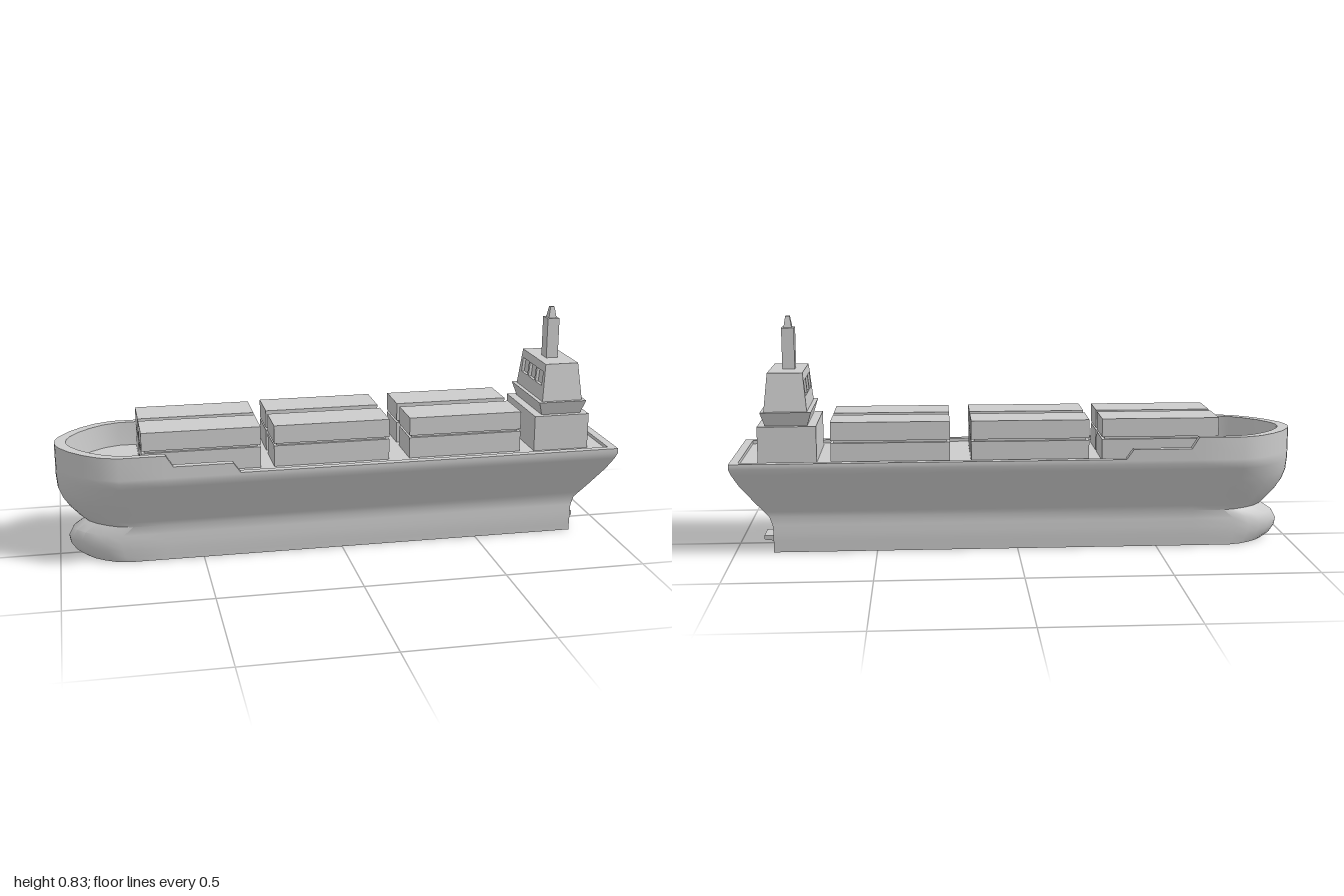
import * as THREE from 'three';
import { toCreasedNormals } from 'three/addons/utils/BufferGeometryUtils.js';

const grey = new THREE.MeshStandardMaterial({ color: 0xcccccc });

function mesh(name, geometry) {
  const m = new THREE.Mesh(geometry, grey);
  m.name = name;
  return m;
}

// Move every vertex of a geometry by a rule
function warp(geo, rule) {
  const p = geo.attributes.position;
  const v = new THREE.Vector3();
  for (let i = 0; i < p.count; i++) {
    rule(v.fromBufferAttribute(p, i));
    p.setXYZ(i, v.x, v.y, v.z);
  }
  const flat = geo.index ? geo.toNonIndexed() : geo;
  flat.computeVertexNormals();
  return flat;
}

// Box from bounds; the top is drawn in by front (-x), back (+x) and side insets
function block(name, [x0, x1], [y0, y1], [z0, z1], front = 0, back = front, side = 0) {
  const geo = new THREE.BoxGeometry(x1 - x0, y1 - y0, z1 - z0);
  geo.translate((x0 + x1) / 2, (y0 + y1) / 2, (z0 + z1) / 2);
  const zc = (z0 + z1) / 2;
  return mesh(name, warp(geo, v => {
    if (v.y < (y0 + y1) / 2) return;
    v.x += v.x < (x0 + x1) / 2 ? front : -back;
    v.z -= Math.sign(v.z - zc) * side;
  }));
}

// Bow plan curve: fraction aft of the nose, fraction of the half width
const BOW = [[1, 1], [0.7, 0.9], [0.45, 0.73], [0.24, 0.53], [0.07, 0.28], [0.015, 0.13], [0, 0]];
// Where the bulwark steps down: x, height
const STEPS = [[-0.375, 0.34], [-0.4, 0.375], [-0.605, 0.375], [-0.63, 0.415]];

// One plan outline, from the stern along +z round the nose and back along -z
function outline(y, nose, bowLength, half, stern) {
  const pts = [[stern, half, 0.34]];
  STEPS.forEach(([x, h]) => pts.push([x, half, h]));
  BOW.forEach(([u, t]) => pts.push([nose + u * bowLength, half * t, 0.415]));
  const side = pts.map(([x, z, h]) => new THREE.Vector3(x, y ?? h, z));
  const other = side.slice(0, -1).reverse().map(p => new THREE.Vector3(p.x, p.y, -p.z));
  return [...side, ...other];
}

function hullGeometry() {
  // y (null follows the bulwark top), nose x, bow length, half width, stern x
  const rings = [
    [0, -0.915, 0.15, 0.131, 0.865],
    [0.02, -0.945, 0.17, 0.132, 0.865],
    [0.045, -0.962, 0.18, 0.134, 0.865],
    [0.07, -0.966, 0.18, 0.134, 0.865],
    [0.1, -0.95, 0.17, 0.133, 0.867],
    [0.13, -0.905, 0.16, 0.132, 0.878],
    [0.15, -0.928, 0.18, 0.142, 0.893],
    [0.185, -0.96, 0.2, 0.16, 0.92],
    [0.22, -0.983, 0.21, 0.178, 0.945],
    [0.255, -0.996, 0.21, 0.196, 0.97],
    [0.3, -1, 0.21, 0.219, 0.993],
    [0.322, -1, 0.21, 0.23, 1],
    [0.335, -1, 0.21, 0.23, 1],
    [null, -1, 0.21, 0.23, 1],
    [null, -0.96, 0.19, 0.203, 0.97],
    [0.328, -0.95, 0.18, 0.203, 0.97],
  ].map(r => outline(...r));
  const n = rings[0].length;
  const m = (n + 1) / 2;
  const index = [];
  for (let k = 0; k < rings.length - 1; k++) {
    for (let i = 0; i < n; i++) {
      const j = (i + 1) % n;
      const a = k * n + i, b = k * n + j;
      index.push(a, a + n, b + n, a, b + n, b);
    }
  }
  // Flat bottom and deck, bridged from side to side
  const top = (rings.length - 1) * n;
  for (let i = 0; i < m - 1; i++) {
    const a = i, b = n - 1 - i, c = n - 2 - i, d = i + 1;
    index.push(top + a, top + b, top + c, a, c, b);
    if (c !== d) index.push(top + a, top + c, top + d, a, d, c);
  }
  const geo = new THREE.BufferGeometry().setFromPoints(rings.flat());
  geo.setIndex(index);
  return toCreasedNormals(geo, 0.6);
}

// Sloping wheelhouse front with three window openings
function windowPanel() {
  const y0 = 0.505, y1 = 0.64, depth = 0.012;
  const shape = new THREE.Shape([[-0.143, y0], [0.143, y0], [0.124, y1], [-0.124, y1]]
    .map(p => new THREE.Vector2(...p)));
  for (const z of [-0.077, 0, 0.077]) {
    shape.holes.push(new THREE.Path([[-0.032, 0.558], [-0.032, 0.61], [0.032, 0.61], [0.032, 0.558]]
      .map(([dz, y]) => new THREE.Vector2(z + dz, y))));
  }
  const geo = new THREE.ExtrudeGeometry(shape, { depth, bevelEnabled: false });
  geo.rotateY(-Math.PI / 2);
  return warp(geo, v => { v.x += 0.735 + depth + (v.y - y0) * 0.1; });
}

export function createModel() {
  const ship = new THREE.Group();
  ship.name = 'cargoShip';
  ship.add(mesh('hull', hullGeometry()));

  // Container stacks: two rows, two layers with a narrow spacer between
  const containers = new THREE.Group();
  containers.name = 'containers';
  for (const [x, zr] of [[-0.707, -0.18], [-0.247, -0.193], [0.24, -0.193]]) {
    for (const z of [zr, 0]) {
      const xs = [x, x + 0.413], zs = [z, z + 0.152];
      containers.add(
        block('lowerContainer', xs, [0.325, 0.403], zs),
        block('containerSpacer', [x + 0.01, x + 0.403], [0.4, 0.415], [z + 0.01, z + 0.142]),
        block('upperContainer', xs, [0.411, 0.476], zs));
    }
  }
  ship.add(containers);

  // Deckhouse, flared bridge deck, wheelhouse and funnel
  const tower = new THREE.Group();
  tower.name = 'bridgeTower';
  tower.add(
    block('deckhouse', [0.704, 0.908], [0.325, 0.457], [-0.16, 0.16]),
    block('bridgeDeck', [0.735, 0.882], [0.457, 0.506], [-0.14, 0.14], -0.015, -0.015, -0.017),
    block('wheelhouse', [0.746, 0.885], [0.505, 0.64], [-0.143, 0.143], 0.0135, 0.014, 0.019),
    mesh('wheelhouseWindows', windowPanel()),
    block('funnel', [0.784, 0.828], [0.64, 0.786], [-0.022, 0.03]),
    block('funnelTip', [0.792, 0.821], [0.786, 0.826], [-0.012, 0.018], 0.007, 0.007, 0.007));
  ship.add(tower);

  // Small fin on the lower stern, narrowing aft
  const fin = new THREE.BoxGeometry(0.05, 0.021, 0.104);
  ship.add(mesh('sternFin', warp(fin, v => {
    if (v.x > 0) {
      v.y *= 0.75;
      v.z *= 0.8;
    }
    v.x += 0.883;
    v.y += 0.031;
  })));
  return ship;
}
